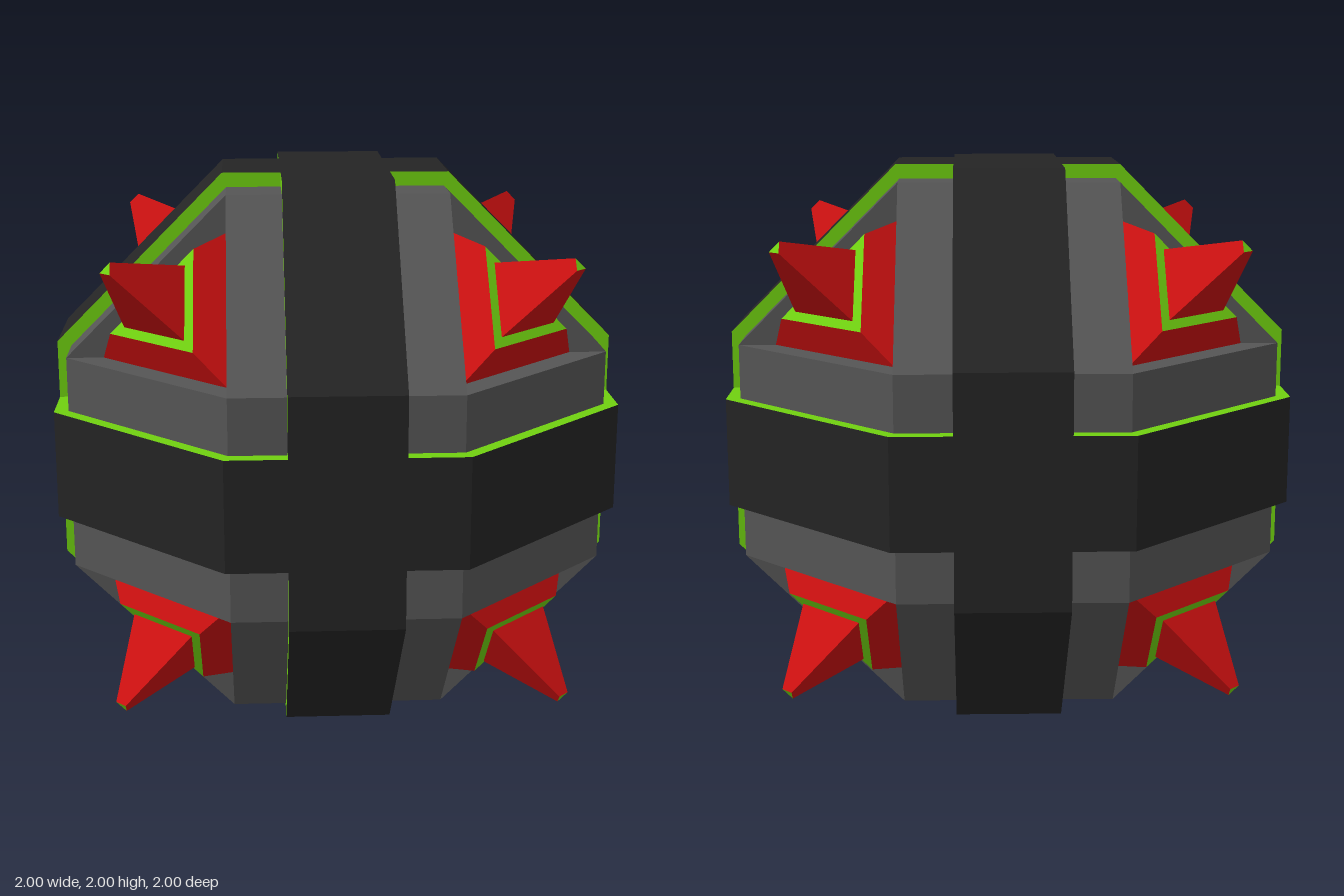
import * as THREE from 'three';

const paint = (name, color) => {
  const m = new THREE.MeshStandardMaterial({ color });
  m.name = name;
  return m;
};

// Octagonal slab: flat sides at distance r, corners at c, half width w
function octagonSlab(r, c, w) {
  const corners = [[r, -c], [r, c], [c, r], [-c, r], [-r, c], [-r, -c], [-c, -r], [c, -r]];
  const shape = new THREE.Shape(corners.map(([x, y]) => new THREE.Vector2(x, y)));
  return new THREE.ExtrudeGeometry(shape, { depth: 2 * w, bevelEnabled: false }).translate(0, 0, -w);
}

// Three-sided frustum along the (1,1,1) diagonal. Each end triangle has
// corners (a,a,b), (a,b,a), (b,a,a).
function cornerFrustum([a0, b0], [a1, b1]) {
  const radius = (a, b) => (b - a) * Math.sqrt(2 / 3);
  const distance = (a, b) => (2 * a + b) / Math.sqrt(3);
  const d0 = distance(a0, b0), d1 = distance(a1, b1);
  const geo = new THREE.CylinderGeometry(radius(a1, b1), radius(a0, b0), d1 - d0, 3, 1).toNonIndexed();
  geo.computeVertexNormals();
  geo.translate(0, (d0 + d1) / 2, 0);
  const up = new THREE.Vector3(1, 1, 1).normalize();
  const out = new THREE.Vector3(-1, -1, 2).normalize();
  const side = new THREE.Vector3().crossVectors(up, out);
  return geo.applyMatrix4(new THREE.Matrix4().makeBasis(side, up, out));
}

export function createModel() {
  const dark = paint('dark strap', 0x242424);
  const grey = paint('grey shell', 0x555555);
  const green = paint('green trim', 0x70d010);
  const red = paint('red spike', 0xca1010);

  const model = new THREE.Group();
  model.name = 'spikedBall';
  const ball = new THREE.Group();
  ball.name = 'ball';
  ball.position.y = 1;
  model.add(ball);

  const add = (parent, name, geo, mat) => {
    const mesh = new THREE.Mesh(geo, mat);
    mesh.name = name;
    parent.add(mesh);
    return mesh;
  };

  // Three crossed rings: wide grey shell, narrow dark strap with green edges
  const shellGeo = octagonSlab(0.95, 0.385, 0.385);
  const strapGeo = octagonSlab(1, 0.4, 0.193);
  for (const [x, y] of [[0, 0], [Math.PI / 2, 0], [0, Math.PI / 2]]) {
    add(ball, 'shellRing', shellGeo, grey).rotation.set(x, y, 0);
    add(ball, 'strapRing', strapGeo, [green, dark]).rotation.set(x, y, 0);
  }

  // A red base with green top and a blunt spike in each of the eight corners
  const baseGeo = cornerFrustum([0.383, 0.82], [0.495, 0.785]);
  const spikeGeo = cornerFrustum([0.524, 0.734], [0.755, 0.79]);
  for (const flip of [0, Math.PI]) {
    for (let i = 0; i < 4; i++) {
      const stud = new THREE.Group();
      stud.name = 'cornerSpike';
      stud.rotation.set(flip, (i * Math.PI) / 2, 0);
      add(stud, 'spikeBase', baseGeo, [red, green, red]);
      add(stud, 'spike', spikeGeo, [red, green, red]);
      ball.add(stud);
    }
  }
  return model;
}
